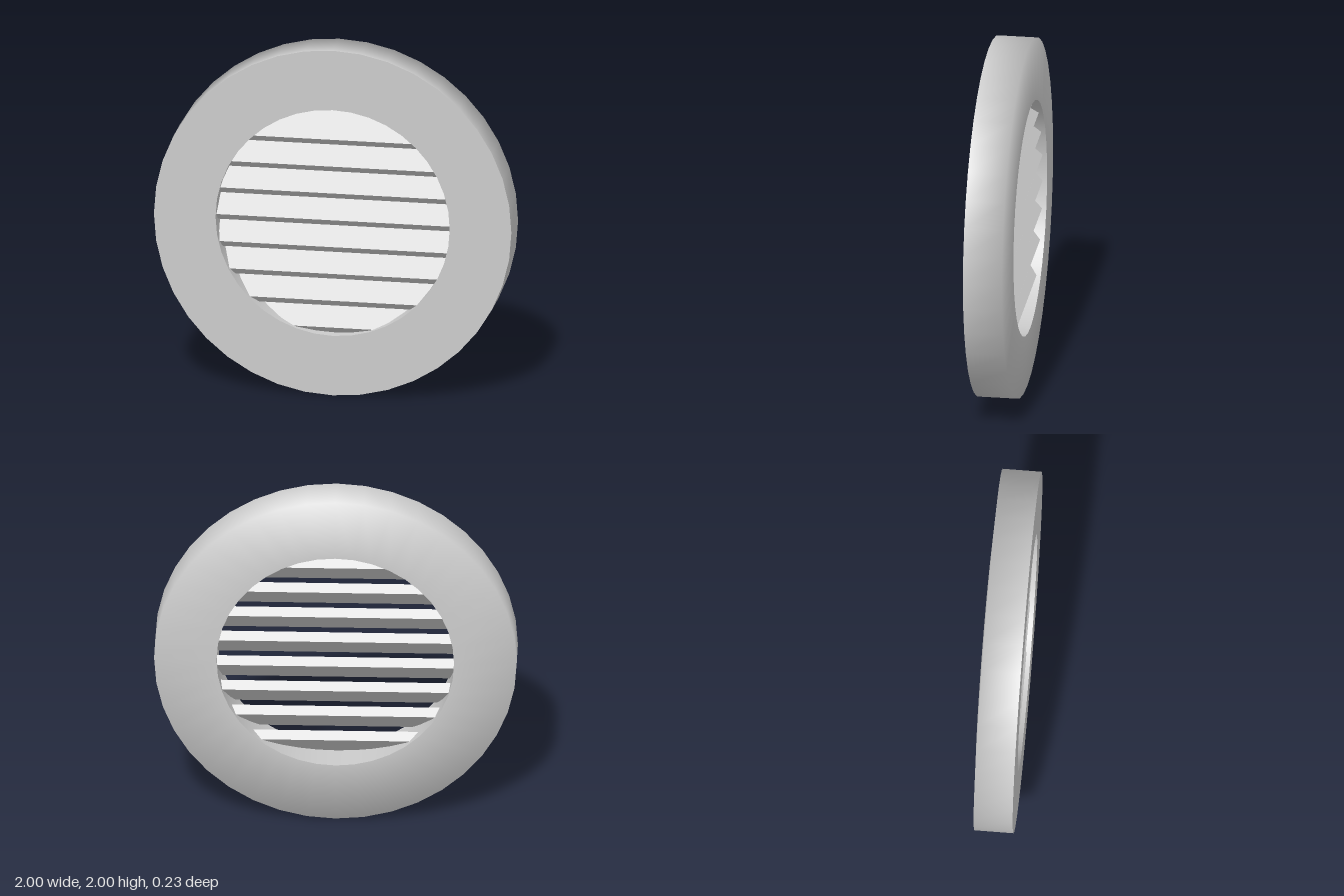
import * as THREE from 'three';

const material = new THREE.MeshStandardMaterial({ color: 0xcccccc });

const OUTER = 1, INNER = 0.655, FRONT = 0.116, RIM = -0.1, BACK = -0.116;

// Surface of revolution about the z axis from [radius, z] points
function revolve(name, profile) {
  const geometry = new THREE.LatheGeometry(profile.map(([r, z]) => new THREE.Vector2(r, z)), 40);
  geometry.rotateX(Math.PI / 2);
  const mesh = new THREE.Mesh(geometry, material);
  mesh.name = name;
  mesh.position.y = 1;
  return mesh;
}

export function createModel() {
  const model = new THREE.Group();
  model.name = 'roundLouvreVent';

  // Ring frame: outer wall blends smoothly into the slightly domed back
  const frame = new THREE.Group();
  frame.name = 'frame';
  frame.add(
    revolve('outerShell', [[INNER, BACK], [OUTER, RIM], [OUTER, FRONT]]),
    revolve('frontFace', [[OUTER, FRONT], [INNER, FRONT]]),
    revolve('openingWall', [[INNER, FRONT], [INNER, BACK]])
  );
  model.add(frame);

  // Eight slats sloping down towards the front, ends buried in the frame
  const slats = new THREE.Group();
  slats.name = 'slats';
  const slatGeometry = new THREE.BoxGeometry(1.53, 0.056, 0.205);
  for (let i = 0; i < 8; i++) {
    const slat = new THREE.Mesh(slatGeometry, material);
    slat.name = 'slat';
    slat.position.set(-0.015, 0.4375 + i * 0.1557, 0);
    slat.rotation.x = Math.PI / 4;
    slats.add(slat);
  }
  model.add(slats);

  return model;
}
